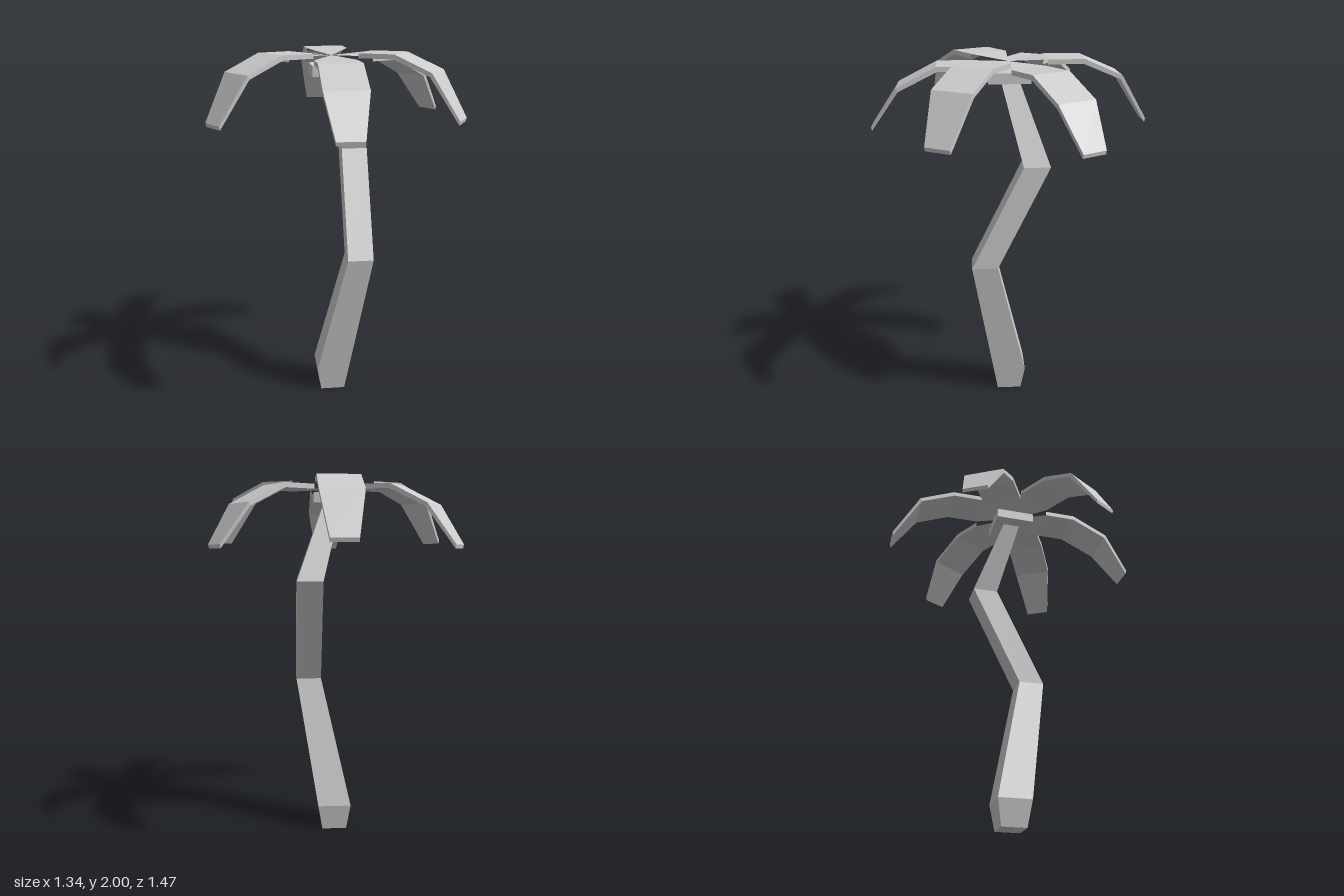
import * as THREE from 'three';

const grey = new THREE.MeshStandardMaterial({ color: 0xcccccc });
grey.name = 'light grey';

// Faceted skin over four-cornered rings; corners run counter-clockwise seen from the end.
function loft(rings, capStart, capEnd, extraTriangles = []) {
  const points = [];
  const quad = (a, b, c, d) => points.push(a, b, c, a, c, d);
  for (let r = 0; r < rings.length - 1; r++) {
    const a = rings[r], b = rings[r + 1];
    for (let i = 0; i < 4; i++) {
      const j = (i + 1) % 4;
      quad(a[i], a[j], b[j], b[i]);
    }
  }
  if (capStart) quad(...[...rings[0]].reverse());
  if (capEnd) quad(...rings[rings.length - 1]);
  extraTriangles.forEach((t) => points.push(...t));
  const geometry = new THREE.BufferGeometry();
  geometry.setAttribute('position', new THREE.Float32BufferAttribute(points.flat(), 3));
  geometry.computeVertexNormals();
  return geometry;
}

// Bent square trunk: [y, centre x, centre z, half width]
function trunkGeometry() {
  const sections = [
    [0, 0, 0, 0.07],
    [0.145, 0, 0, 0.094],
    [0.872, 0.14, 0.143, 0.072],
    [1.452, 0.14, -0.141, 0.072],
    [1.9, 0, 0, 0.048],
  ];
  const rings = sections.map(([y, x, z, h]) => [
    [x - h, y, z + h], [x + h, y, z + h], [x + h, y, z - h], [x - h, y, z - h],
  ]);
  return loft(rings, true, true);
}

// Drooping frond along +z: [half width, top z, top y, bottom z, bottom y]
function frondGeometry(sections) {
  const rings = sections.map(([w, tz, ty, bz, by]) => [
    [-w, by, bz], [w, by, bz], [w, ty, tz], [-w, ty, tz],
  ]);
  const [bl, br, tr, tl] = rings[0];
  // Triangular root, meeting the other fronds at the crown centre
  const root = [
    [[0, 1.977, 0], tl, tr],
    [[0, 1.952, 0], br, bl],
  ];
  return loft(rings, false, true, root);
}

export function createModel() {
  const model = new THREE.Group();
  model.name = 'palmTree';
  const add = (name, geometry) => {
    const mesh = new THREE.Mesh(geometry, grey);
    mesh.name = name;
    model.add(mesh);
    return mesh;
  };

  add('trunk', trunkGeometry());

  // Square block joining trunk and fronds
  add('crownBlock', new THREE.BoxGeometry(0.226, 0.055, 0.226)).position.y = 1.903;

  // Six fronds, alternating lower and higher
  const low = frondGeometry([
    [0.113, 0.198, 1.967, 0.198, 1.941],
    [0.113, 0.38, 1.967, 0.375, 1.941],
    [0.113, 0.59, 1.86, 0.58, 1.84],
    [0.07, 0.735, 1.648, 0.73, 1.628],
  ]);
  const high = frondGeometry([
    [0.113, 0.198, 2, 0.198, 1.975],
    [0.113, 0.39, 2, 0.385, 1.975],
    [0.113, 0.59, 1.915, 0.58, 1.895],
    [0.07, 0.735, 1.677, 0.73, 1.657],
  ]);
  for (let i = 0; i < 6; i++) {
    const isLow = i % 2 === 0;
    add(isLow ? 'lowerFrond' : 'upperFrond', isLow ? low : high).rotation.y = (i * Math.PI) / 3;
  }
  return model;
}
